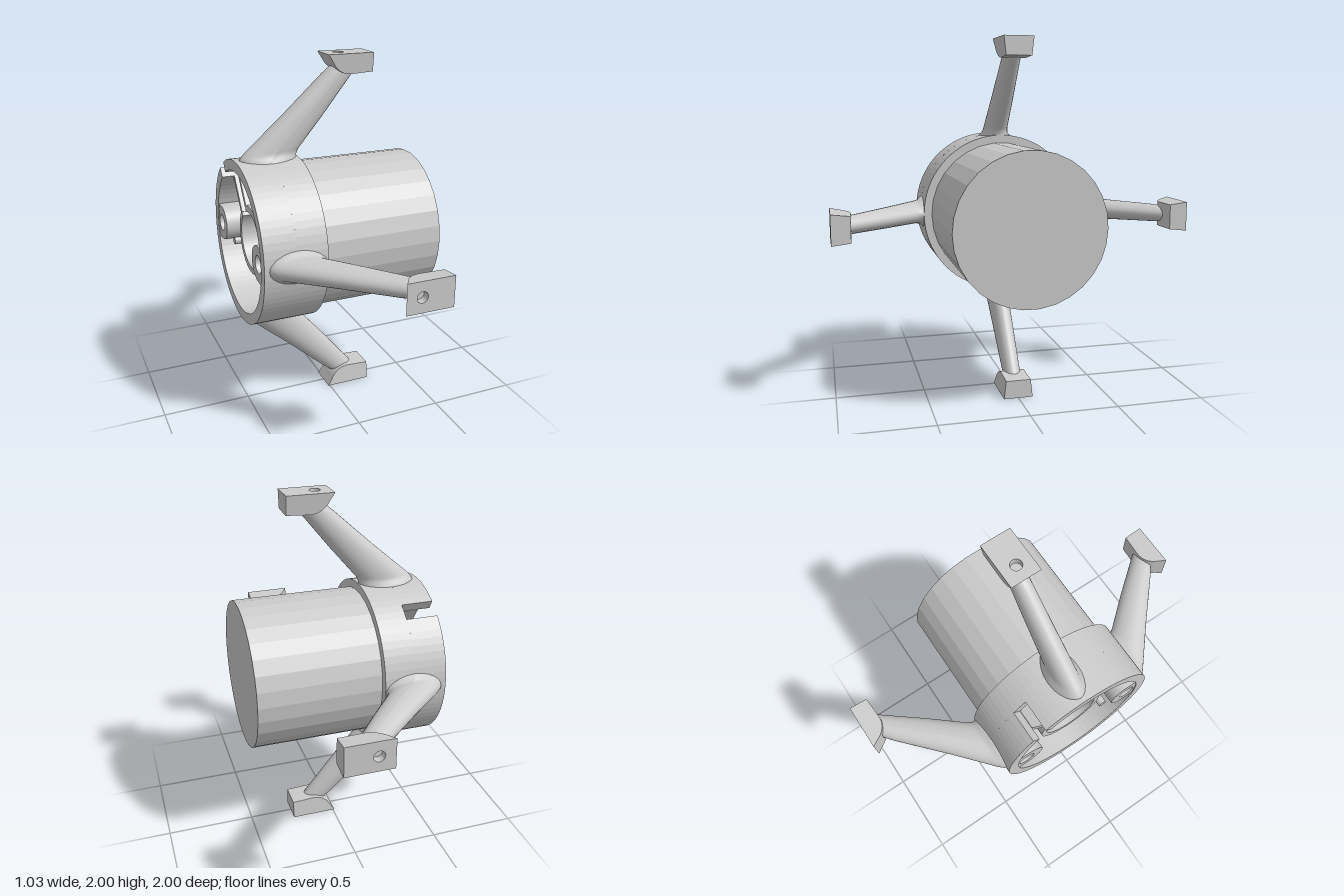
import * as THREE from 'three';

const flat = new THREE.MeshStandardMaterial({ color: 0xcccccc, flatShading: true, side: THREE.DoubleSide });
const smooth = new THREE.MeshStandardMaterial({ color: 0xcccccc, side: THREE.DoubleSide });

function add(parent, name, geometry, material = flat) {
  const mesh = new THREE.Mesh(geometry, material);
  mesh.name = name;
  parent.add(mesh);
  return mesh;
}

// Extrude a cross-section along x from x0 to x1 (shape x becomes -z)
function alongX(shape, x0, x1, curveSegments = 36) {
  const g = new THREE.ExtrudeGeometry(shape, { depth: x1 - x0, bevelEnabled: false, curveSegments });
  return g.rotateY(Math.PI / 2).translate(x0, 0, 0);
}

// Ring sector between two angles; a full ring when the gap is zero
function ring(outer, inner, from = 0, to = Math.PI * 2) {
  const s = new THREE.Shape();
  s.absarc(0, 0, outer, from, to, false);
  if (to - from > 6.28) {
    s.holes.push(new THREE.Path().absarc(0, 0, inner, 0, Math.PI * 2, true));
  } else {
    s.absarc(0, 0, inner, to, from, true);
    s.closePath();
  }
  return s;
}

// Tapered strut lofted from ellipses: [height, centre x, half x, half z]
function strutGeometry() {
  const rows = [
    [0.93, 0.105, 0.075, 0.046], [0.89, 0.07, 0.09, 0.05], [0.68, -0.13, 0.122, 0.058],
    [0.5, -0.31, 0.15, 0.065], [0.472, -0.33, 0.157, 0.07], [0.452, -0.335, 0.163, 0.09],
    [0.41, -0.335, 0.163, 0.1],
  ];
  const n = rows.length - 1;
  const g = new THREE.CylinderGeometry(1, 1, 1, 24, n, true);
  const p = g.attributes.position;
  for (let i = 0; i < p.count; i++) {
    const [y, cx, hx, hz] = rows[Math.round((0.5 - p.getY(i)) * n)];
    p.setXYZ(i, cx + hx * p.getX(i), y, hz * p.getZ(i));
  }
  g.computeVertexNormals();
  return g;
}

// Narrow a pad towards its inner side
function taper(g) {
  const p = g.attributes.position;
  for (let i = 0; i < p.count; i++) p.setZ(i, p.getZ(i) * (1 - 1.4 * (1 - p.getY(i))));
  g.computeVertexNormals();
  return g;
}

// Lower pad body with its curved heel
function padBodyGeometry() {
  const s = new THREE.Shape();
  s.moveTo(0.25, 0.96);
  s.lineTo(0.015, 0.96);
  s.quadraticCurveTo(0.05, 0.892, 0.12, 0.89);
  s.lineTo(0.25, 0.897);
  s.closePath();
  const g = new THREE.ExtrudeGeometry(s, { depth: 0.166, bevelEnabled: false, curveSegments: 10 });
  return taper(g.translate(0, 0, -0.083));
}

// Outer pad plate with the screw hole and a slanted lip
function padPlateGeometry() {
  const s = new THREE.Shape();
  s.moveTo(-0.01, -0.083);
  s.lineTo(0.25, -0.083);
  s.lineTo(0.25, 0.083);
  s.lineTo(-0.01, 0.083);
  s.closePath();
  s.holes.push(new THREE.Path().absarc(0.075, 0, 0.03, 0, Math.PI * 2, true));
  const g = new THREE.ExtrudeGeometry(s, { depth: 0.04, bevelEnabled: false, curveSegments: 20 });
  g.rotateX(-Math.PI / 2).translate(0, 0.96, 0);
  const p = g.attributes.position;
  for (let i = 0; i < p.count; i++) {
    if (p.getX(i) < 0 && p.getY(i) < 0.98) p.setX(i, 0.015);
  }
  return taper(g);
}

export function createModel() {
  const model = new THREE.Group();
  const body = new THREE.Group();
  body.name = 'body';
  body.position.y = 1;
  model.add(body);

  // Drum, whose hidden end is the floor of the collar recess
  const drum = new THREE.CylinderGeometry(0.415, 0.415, 0.755, 30);
  add(body, 'drum', drum.rotateZ(-Math.PI / 2).translate(0.1375, 0, 0));

  // Collar: closed band in front, band with a cable notch at the open end
  const rad = Math.PI / 180;
  const notchA = 48.5 * rad, notchB = 60 * rad, notchMid = (notchA + notchB) / 2;
  add(body, 'collarBand', alongX(ring(0.46, 0.4), -0.34, -0.17));
  add(body, 'collarNotchedBand', alongX(ring(0.46, 0.4, notchB, notchA + Math.PI * 2), -0.52, -0.34));

  // Inner cable ring, opened towards the notch, with two guide walls
  const gap = 14 * rad;
  add(body, 'innerRing', alongX(ring(0.195, 0.16, notchMid + gap, notchMid - gap + Math.PI * 2), -0.45, -0.23));
  for (const side of [-1, 1]) {
    const wall = new THREE.BoxGeometry(0.23, 0.025, 0.22);
    const holder = new THREE.Group();
    holder.name = 'guideWallHolder';
    holder.rotation.x = Math.PI - notchMid + Math.PI;
    add(holder, 'guideWall', wall.translate(-0.335, side * 0.05, -0.29));
    holder.rotation.x = notchMid;
    body.add(holder);
  }

  // Screw bosses merging into the collar wall
  for (const side of [-1, 1]) {
    const s = new THREE.Shape();
    s.moveTo(0.42, -0.1);
    s.lineTo(0.42, 0.1);
    s.lineTo(0.335, 0.1);
    s.absarc(0.335, 0, 0.1, Math.PI / 2, Math.PI * 1.5, false);
    s.closePath();
    s.holes.push(new THREE.Path().absarc(0.34, 0, 0.048, 0, Math.PI * 2, true));
    const boss = add(body, 'screwBoss', alongX(s, -0.515, -0.23, 16));
    if (side < 0) boss.rotation.x = Math.PI;
  }

  // Locating pins
  for (const angle of [80, -40, -160]) {
    const pin = new THREE.CylinderGeometry(0.024, 0.024, 0.23, 16);
    pin.rotateZ(Math.PI / 2);
    pin.translate(-0.345, 0.31 * Math.sin(angle * rad), 0.31 * Math.cos(angle * rad));
    add(body, 'locatingPin', pin);
  }

  // Four raked arms with mounting pads
  const strut = strutGeometry(), padBody = padBodyGeometry(), padPlate = padPlateGeometry();
  for (let i = 0; i < 4; i++) {
    const arm = new THREE.Group();
    arm.name = 'arm' + (i + 1);
    arm.rotation.x = (i * Math.PI) / 2;
    add(arm, 'strut', strut, smooth);
    add(arm, 'padBody', padBody);
    add(arm, 'padPlate', padPlate);
    body.add(arm);
  }
  return model;
}
